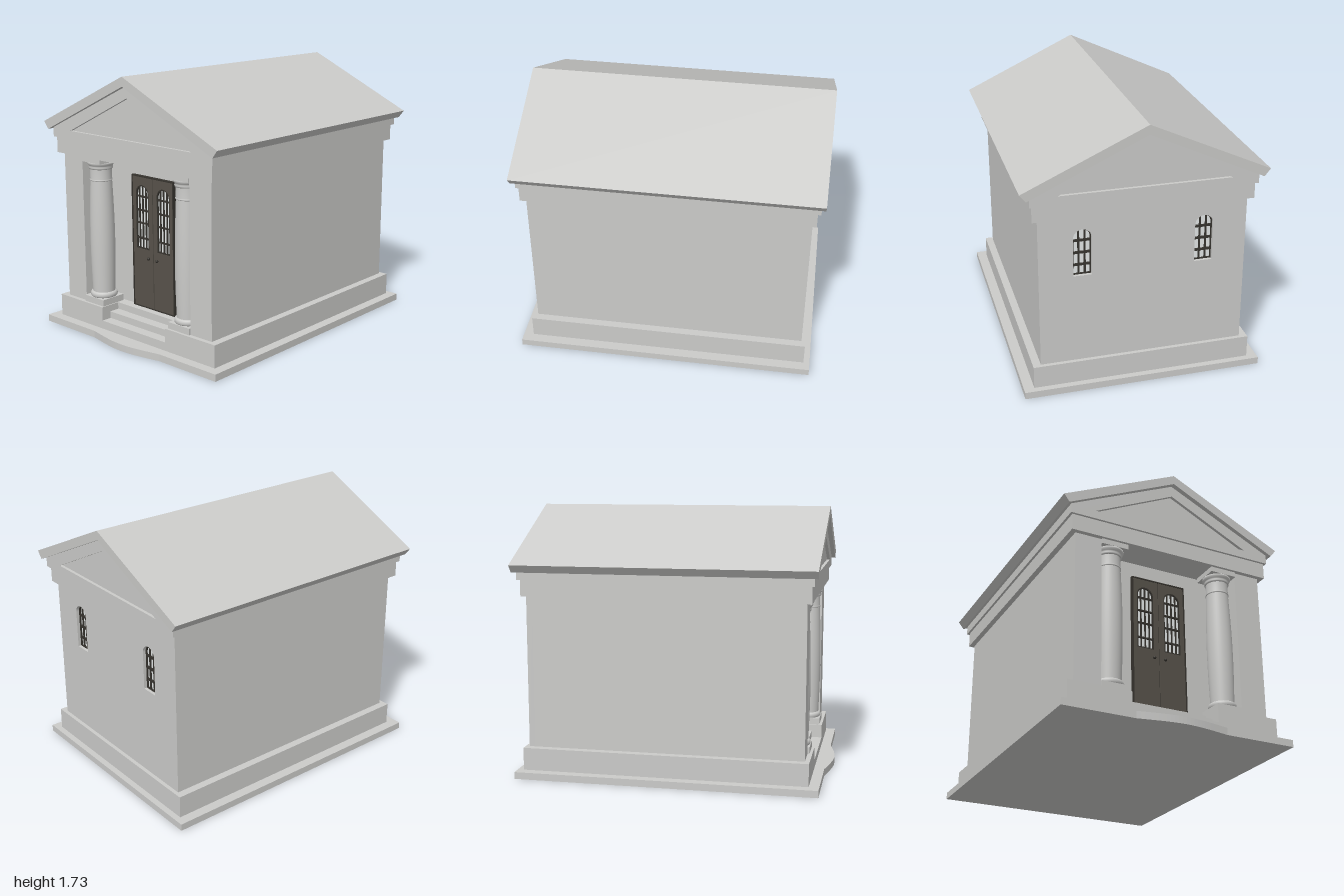
import * as THREE from 'three';

export function createModel() {
  const model = new THREE.Group();
  model.name = 'mausoleum';
  const material = (name, color, side = THREE.FrontSide) => {
    const m = new THREE.MeshStandardMaterial({ color, side });
    m.name = name;
    return m;
  };
  const stone = material('stone', 0xcbcbc9);
  const bronze = material('darkBronze', 0x57524a);
  const iron = material('iron', 0x37342f);
  const glass = material('paleGlass', 0xeaeeee);

  const add = (name, geometry, mat, parent = model) => {
    const mesh = new THREE.Mesh(geometry, mat);
    mesh.name = name;
    parent.add(mesh);
    return mesh;
  };
  // Box given by its limits on each axis
  const box = (name, x0, x1, y0, y1, z0, z1, mat, parent) => {
    const mesh = add(name, new THREE.BoxGeometry(x1 - x0, y1 - y0, z1 - z0), mat, parent);
    mesh.position.set((x0 + x1) / 2, (y0 + y1) / 2, (z0 + z1) / 2);
    return mesh;
  };
  const polygon = (pts) => new THREE.Shape(pts.map(([x, y]) => new THREE.Vector2(x, y)));
  // Front outline pushed along z
  const extrudeZ = (shape, z0, z1) =>
    new THREE.ExtrudeGeometry(shape, { depth: z1 - z0, bevelEnabled: false, curveSegments: 12 }).translate(0, 0, z0);
  // Plan outline (x, -z) raised along y
  const extrudeY = (shape, y0, y1) =>
    new THREE.ExtrudeGeometry(shape, { depth: y1 - y0, bevelEnabled: false, curveSegments: 12 })
      .rotateX(-Math.PI / 2).translate(0, y0, 0);
  // Round-headed opening
  const arch = (cx, w, y0, y1) => {
    const r = w / 2;
    const s = new THREE.Shape();
    s.moveTo(cx - r, y0);
    s.lineTo(cx + r, y0);
    s.lineTo(cx + r, y1 - r);
    s.absarc(cx, y1 - r, r, 0, Math.PI, false);
    s.closePath();
    return s;
  };
  // Plan rectangle with a notch cut into its front edge
  const notched = (x, back, front, n0, n1, nz) => polygon([
    [-x, -front], [n0, -front], [n0, -nz], [n1, -nz], [n1, -front], [x, -front], [x, -back], [-x, -back]]);

  // Ground slab with a gently bowed front edge
  const slab = new THREE.Shape();
  slab.moveTo(-0.765, -0.955);
  slab.lineTo(-0.3, -0.955);
  slab.bezierCurveTo(-0.2, -0.975, -0.1, -1, 0, -1);
  slab.bezierCurveTo(0.1, -1, 0.2, -0.975, 0.3, -0.955);
  slab.lineTo(0.765, -0.955);
  slab.lineTo(0.765, 0.985);
  slab.lineTo(-0.765, 0.985);
  add('groundSlab', extrudeY(slab, 0, 0.045), stone);

  // Plinth and entrance steps
  add('plinth', extrudeY(notched(0.7, -0.945, 0.89, -0.29, 0.285, 0.75), 0.045, 0.19), stone);
  box('lowerStep', -0.29, 0.285, 0.045, 0.1, 0.75, 0.89, stone);
  box('upperStep', -0.29, 0.285, 0.1, 0.145, 0.75, 0.82, stone);

  // Walls with the porch recess, and the pierced back wall
  add('walls', extrudeY(notched(0.65, -0.88, 0.86, -0.475, 0.475, 0.68), 0.19, 1.17), stone);
  const backWall = polygon([[-0.65, 0.19], [0.65, 0.19], [0.65, 1.17], [-0.65, 1.17]]);
  for (const s of [-1, 1]) backWall.holes.push(arch(s * 0.38, 0.115, 0.775, 1.08));
  add('backWall', extrudeZ(backWall, -0.92, -0.88), stone);

  // Glass and grille filling a round-headed opening
  const grille = (name, cx, w, y0, y1, zGlass, zBar, columns, rows, t) => {
    const g = new THREE.Group();
    g.name = name;
    model.add(g);
    add('glass', extrudeZ(arch(cx, w, y0, y1), zGlass - 0.002, zGlass + 0.002), glass, g);
    const r = w / 2;
    for (let i = 1; i < columns; i++) {
      const dx = -r + (w * i) / columns;
      const top = y1 - r + Math.sqrt(r * r - dx * dx);
      box('uprightBar', cx + dx - t / 2, cx + dx + t / 2, y0, top, zBar - 0.004, zBar + 0.004, iron, g);
    }
    for (const y of rows)
      box('crossBar', cx - r, cx + r, y - t * 0.65, y + t * 0.65, zBar - 0.005, zBar + 0.005, iron, g);
    // Thin rim following the opening
    const rim = arch(cx, w, y0, y1);
    rim.holes.push(arch(cx, w - 0.014, y0 + 0.007, y1 - 0.007));
    add('rim', extrudeZ(rim, zBar - 0.005, zBar + 0.005), iron, g);
  };
  for (const s of [-1, 1])
    grille('backWindow', s * 0.38, 0.115, 0.775, 1.08, -0.883, -0.895, 3, [0.84, 0.92, 1.0], 0.011);

  // Double door
  for (const s of [-1, 1]) {
    const a = s * 0.003, b = s * 0.178;
    const x0 = Math.min(a, b), x1 = Math.max(a, b);
    const leaf = polygon([[x0, 0.197], [x1, 0.197], [x1, 1.058], [x0, 1.058]]);
    leaf.holes.push(arch(s * 0.094, 0.114, 0.585, 1.005));
    add('doorLeaf', extrudeZ(leaf, 0.68, 0.7), bronze);
    grille('doorWindow', s * 0.094, 0.114, 0.585, 1.005, 0.684, 0.694, 4, [0.655, 0.755, 0.84, 0.93], 0.008);
    const knob = add('doorKnob', new THREE.SphereGeometry(0.01, 12, 8), iron);
    knob.position.set(s * 0.038, 0.53, 0.708);
  }
  const frame = polygon([[-0.186, 0.19], [0.186, 0.19], [0.186, 1.066], [-0.186, 1.066]]);
  frame.holes.push(polygon([[-0.178, 0.197], [0.178, 0.197], [0.178, 1.058], [-0.178, 1.058]]));
  add('doorFrame', extrudeZ(frame, 0.68, 0.704), iron);
  box('doorGap', -0.003, 0.003, 0.197, 1.058, 0.68, 0.694, iron);

  // Swelling columns on square blocks
  const profiles = {
    columnBase: [[0, 0.232], [0.082, 0.232], [0.088, 0.24], [0.088, 0.255], [0.082, 0.264], [0.074, 0.268], [0, 0.268]],
    columnNeck: [[0.07, 1.012], [0.074, 1.015], [0.074, 1.02], [0.07, 1.025], [0.07, 1.09]],
    columnCapital: [[0, 1.09], [0.076, 1.09], [0.079, 1.1], [0.076, 1.108], [0.08, 1.115], [0.088, 1.125], [0.088, 1.137], [0, 1.137]],
  };
  const shaft = [];
  for (let i = 0; i <= 14; i++) {
    const t = i / 14;
    shaft.push([0.073 - 0.003 * t + 0.009 * Math.sin(Math.PI * t), 0.265 + 0.75 * t]);
  }
  profiles.columnShaft = shaft;
  for (const s of [-1, 1]) {
    const column = new THREE.Group();
    column.name = 'column';
    column.position.set(s * 0.386, 0, 0.783);
    model.add(column);
    for (const [name, pts] of Object.entries(profiles))
      add(name, new THREE.LatheGeometry(pts.map(([r, y]) => new THREE.Vector2(r, y)), 36), stone, column);
    box('columnPlinth', -0.089, 0.089, 0.19, 0.232, -0.089, 0.089, stone, column);
    box('abacus', -0.089, 0.089, 1.137, 1.17, -0.089, 0.089, stone, column);
  }

  // Entablature and pediments with sunken triangles
  box('entablature', -0.685, 0.685, 1.17, 1.275, -0.945, 0.89, stone);
  const triangle = [[-0.533, 1.33], [0.533, 1.33], [0, 1.59]];
  const gable = polygon([[-0.7, 1.275], [0.7, 1.275], [0.7, 1.345], [0, 1.667], [-0.7, 1.345]]);
  gable.holes.push(polygon(triangle));
  add('pediment', extrudeZ(gable, -0.965, 0.905), stone);
  add('tympanum', extrudeZ(polygon(triangle), -0.945, 0.885), stone);

  // Gabled roof slab with square-cut eaves
  const roof = polygon([[-0.76, 1.373], [-0.723, 1.325], [0, 1.665], [0.723, 1.325], [0.76, 1.373], [0, 1.725]]);
  const roofGeometry = extrudeZ(roof, -0.99, 0.93);
  // Ends lean outward slightly toward the ridge
  const p = roofGeometry.attributes.position;
  for (let i = 0; i < p.count; i++)
    p.setZ(i, p.getZ(i) + Math.sign(p.getZ(i)) * 0.01 * (p.getY(i) - 1.325) / 0.4);
  roofGeometry.computeVertexNormals();
  add('roof', roofGeometry, stone);

  return model;
}
